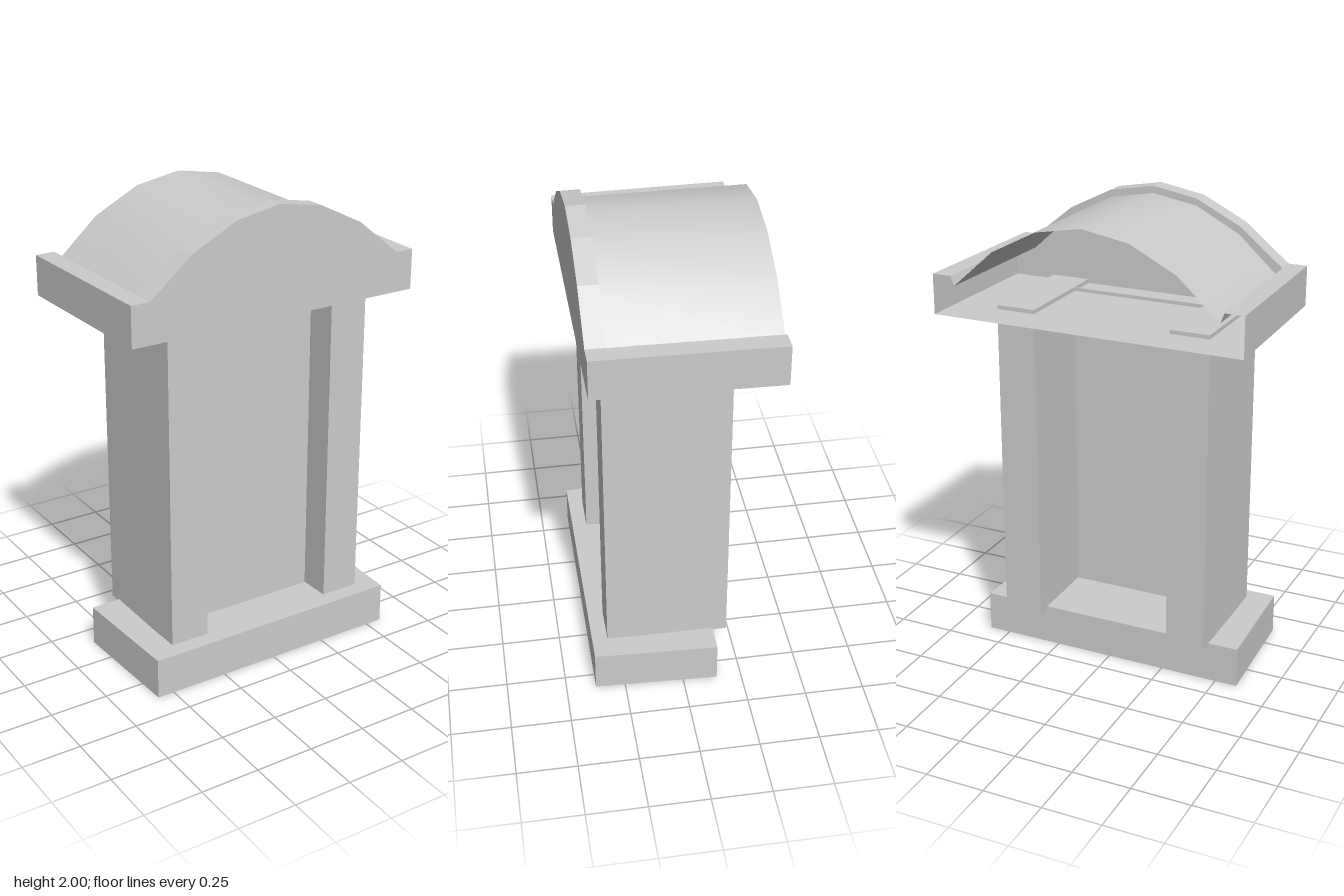
import * as THREE from 'three';

const FRONT = 0.375, BACK = -0.375, STEP = 0.295;
const solid = new THREE.MeshStandardMaterial({ color: 0xcccccc, flatShading: true });
const sheet = new THREE.MeshStandardMaterial({ color: 0xcccccc, flatShading: true, side: THREE.DoubleSide });
const smooth = new THREE.MeshStandardMaterial({ color: 0xcccccc, side: THREE.DoubleSide });

// Widen a geometry towards the back: x grows by `rate` per unit of depth
function taper(geo, rate) {
  const p = geo.attributes.position;
  for (let i = 0; i < p.count; i++) p.setX(i, p.getX(i) * (1 + rate * (FRONT - p.getZ(i))));
  geo.computeVertexNormals();
  return geo;
}

// Open sheet swept along z from an x, y profile
function sweep(profile, z0, z1) {
  const pos = [], index = [];
  profile.forEach(([x, y], i) => {
    pos.push(x, y, z0, x, y, z1);
    const a = i * 2;
    if (i) index.push(a - 2, a, a - 1, a, a + 1, a - 1);
  });
  const geo = new THREE.BufferGeometry();
  geo.setAttribute('position', new THREE.Float32BufferAttribute(pos, 3));
  geo.setIndex(index);
  return geo;
}

// Full left-to-right arch from its right half
function mirrorArch(half) {
  return [...half, ...half.slice(0, -1).reverse().map(([x, y]) => [-x, y])];
}

function box(x0, x1, y0, y1, z0, z1) {
  return new THREE.BoxGeometry(x1 - x0, y1 - y0, z1 - z0)
    .translate((x0 + x1) / 2, (y0 + y1) / 2, (z0 + z1) / 2);
}

export function createModel() {
  const group = new THREE.Group();
  const add = (name, geo, mat = solid) => {
    const mesh = new THREE.Mesh(geo, mat);
    mesh.name = name;
    group.add(mesh);
  };

  // Plinth, a little wider at the back
  add('base', taper(box(-0.573, 0.573, 0, 0.175, -0.145, FRONT), 0.075));

  // Two deep pillars whose feet slope slightly up to the front
  for (const [name, x0, x1] of [['rightPillar', -0.465, -0.295], ['leftPillar', 0.305, 0.475]]) {
    const geo = box(x0, x1, 0.165, 1.562, -0.205, 0.31);
    const p = geo.attributes.position;
    for (let i = 0; i < p.count; i++) {
      if (p.getY(i) < 1 && p.getZ(i) > 0) p.setY(i, 0.18);
    }
    add(name, geo);
  }

  // Thin panel between the pillars
  add('panel', box(-0.295, 0.305, 0.165, 1.56, 0.162, 0.167));

  // Arched front gable
  const arch = mirrorArch([[0.575, 1.715], [0.385, 1.87], [0.195, 1.965], [0, 2]]);
  const outline = [[-0.655, 1.715], [-0.655, 1.545], [0.655, 1.545], [0.655, 1.715], ...arch];
  const shape = new THREE.Shape(outline.map(([x, y]) => new THREE.Vector2(x, y)));
  const gable = new THREE.ExtrudeGeometry(shape, { depth: FRONT - STEP, bevelEnabled: false });
  add('gable', taper(gable.translate(0, 0, STEP), 0.031));

  // Hollow eaves: floor, outer walls, rails and their inner lips, open at the back
  const eave = [[0.655, 1.545], [0.655, 1.715], [0.575, 1.715], [0.56, 1.675]];
  const shell = [...eave.slice().reverse(), ...eave.map(([x, y]) => [-x, y])];
  add('eaves', taper(sweep(shell, BACK, STEP), 0.031), sheet);

  // Smooth barrel roof set just below the gable rim
  const barrel = mirrorArch([[0.56, 1.675], [0.385, 1.835], [0.195, 1.935], [0, 1.97]]);
  add('barrelRoof', taper(sweep(barrel, STEP, BACK), 0.031), smooth);

  return group;
}
